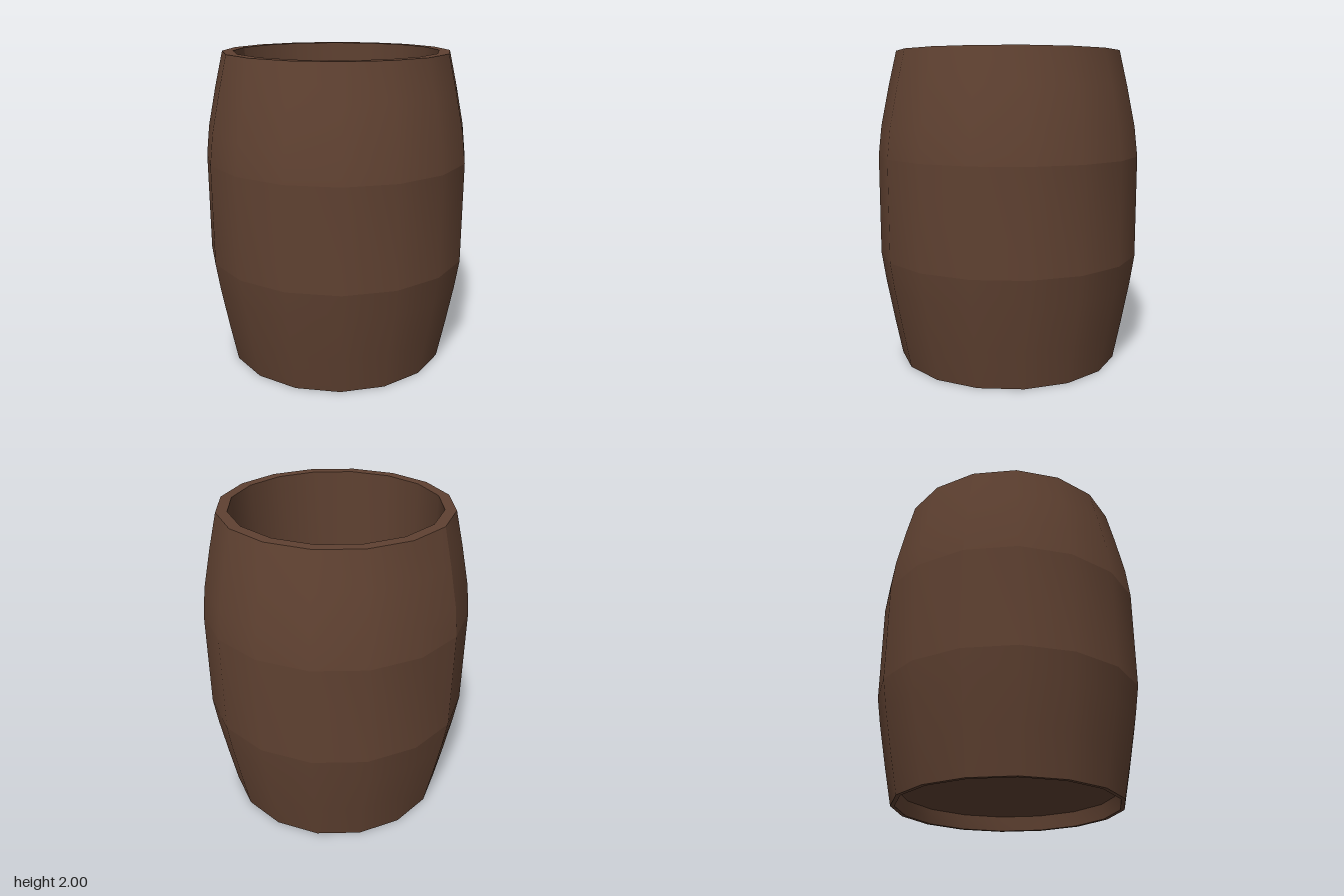
import * as THREE from 'three';

const SIDES = 16;
// the first stave corner; the vertical seam of the shell runs through it
const SEAM = -2.5 * (Math.PI * 2 / SIDES);

export function createModel() {
  const barrel = new THREE.Group();
  barrel.name = 'barrel';
  const wood = new THREE.MeshStandardMaterial({ color: 0x5f4131 });
  wood.name = 'brown wood';

  // one turned section; normals are smooth inside it and creased at its ends
  function section(name, profile) {
    const points = profile.map(([r, y]) => new THREE.Vector2(r, y));
    const geometry = new THREE.LatheGeometry(points, SIDES, SEAM, Math.PI * 2);
    geometry.computeVertexNormals();
    const mesh = new THREE.Mesh(geometry, wood);
    mesh.name = name;
    barrel.add(mesh);
  }

  // profiles run up the outside, over the rim and down the inside
  section('bottomHead', [[0, 0.1], [0.68, 0.1]]);
  section('bottomRecessWall', [[0.68, 0.1], [0.69, 0.005]]);
  section('bottomRim', [[0.69, 0.005], [0.716, 0.005]]);
  section('lowerStaves', [[0.716, 0.005], [0.765, 0.25], [0.815, 0.52], [0.842, 0.7]]);
  section('middleStaves', [[0.842, 0.7], [0.842, 1.34]]);
  section('upperStaves', [[0.842, 1.34], [0.82, 1.53], [0.768, 1.78], [0.716, 2]]);
  section('topRim', [[0.716, 2], [0.647, 2]]);
  section('innerWall', [[0.647, 2], [0.647, 0.14]]);
  section('innerFloor', [[0.647, 0.14], [0, 0.14]]);

  return barrel;
}
